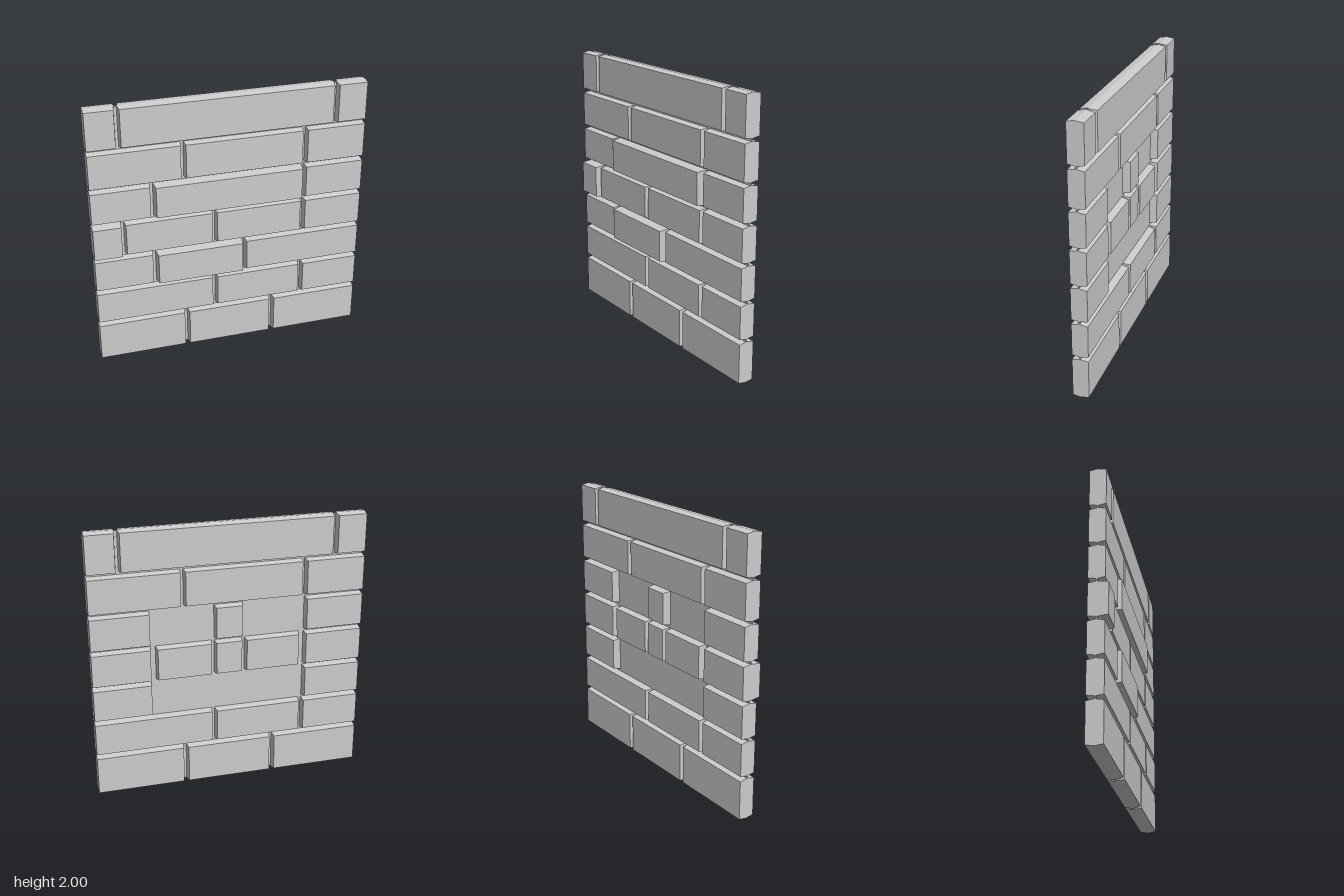
import * as THREE from 'three';

const CORE = -0.01;    // depth where front and back half bricks meet
const GAP = 0.018;     // joint width at the core
const BEVEL = 0.01;    // inset of the brick face
const FRONT = 0.047, PROUD = 0.07, BACK = -0.07;
const ROWS = [0, 0.313, 0.588, 0.858, 1.133, 1.405, 1.694, 2];
// Joint positions of each course, seen from either face
const JOINTS = [
  [-0.335, 0.33], [-0.115, 0.555], [-0.56, 0.108], [-0.78, -0.115, 0.553],
  [-0.56, 0.553], [-0.335, 0.555], [-0.78, 0.775],
];
// Index of the brick standing proud in a front course
const PROUD_BRICK = { 2: 1, 3: 0, 4: 1 };
// Back courses 2-4 have a niche with a few bricks left inside it
const NICHE = {
  2: [[-1, -0.56], [0.56, 1]],
  3: [[-1, -0.56], [-0.545, -0.115], [-0.115, 0.11], [0.11, 0.54], [0.56, 1]],
  4: [[-1, -0.56], [-0.115, 0.115], [0.56, 1]],
};

const material = new THREE.MeshStandardMaterial({ color: 0xcccccc, flatShading: true });

// Half brick: a box whose outer face is inset, with square wall ends
function halfBrick(x0, x1, row, depth, name) {
  const g = GAP / 2;
  const left = x0 <= -1 ? -1 : x0 + g, right = x1 >= 1 ? 1 : x1 - g;
  const y0 = ROWS[row] + (row === 0 ? 0 : g);
  const y1 = ROWS[row + 1] - (row === 6 ? 0 : g);
  const geo = new THREE.BoxGeometry(right - left, y1 - y0, depth);
  const p = geo.attributes.position;
  for (let i = 0; i < p.count; i++) {
    if (p.getZ(i) < 0) continue;
    const x = p.getX(i), y = p.getY(i);
    const endFlat = x < 0 ? left === -1 : right === 1;
    if (!endFlat) p.setX(i, x - Math.sign(x) * BEVEL);
    p.setY(i, y - Math.sign(y) * BEVEL);
  }
  geo.translate((left + right) / 2, (y0 + y1) / 2, depth / 2);
  geo.computeVertexNormals();
  const mesh = new THREE.Mesh(geo, material);
  mesh.name = name;
  return mesh;
}

function spans(row) {
  const edges = [-1, ...JOINTS[row], 1];
  return edges.slice(1).map((e, i) => [edges[i], e]);
}

export function createModel() {
  const wall = new THREE.Group();
  wall.name = 'brickWall';

  // Thin mortar sheet filling the joints and the niche floor
  const mortar = new THREE.Mesh(new THREE.BoxGeometry(1.998, 1.99, 0.008), material);
  mortar.name = 'mortar';
  mortar.position.set(0, 1, CORE);
  wall.add(mortar);

  const front = new THREE.Group();
  front.name = 'frontBricks';
  front.position.z = CORE;
  // Back face is laid out as seen from behind, so it is turned round
  const back = new THREE.Group();
  back.name = 'backBricks';
  back.position.z = CORE;
  back.rotation.y = Math.PI;

  for (let row = 0; row < 7; row++) {
    spans(row).forEach(([a, b], i) => {
      const face = PROUD_BRICK[row] === i ? PROUD : FRONT;
      front.add(halfBrick(a, b, row, face - CORE, 'frontBrick'));
    });
    for (const [a, b] of NICHE[row] || spans(row)) {
      back.add(halfBrick(a, b, row, CORE - BACK, 'backBrick'));
    }
  }
  wall.add(front, back);
  return wall;
}
